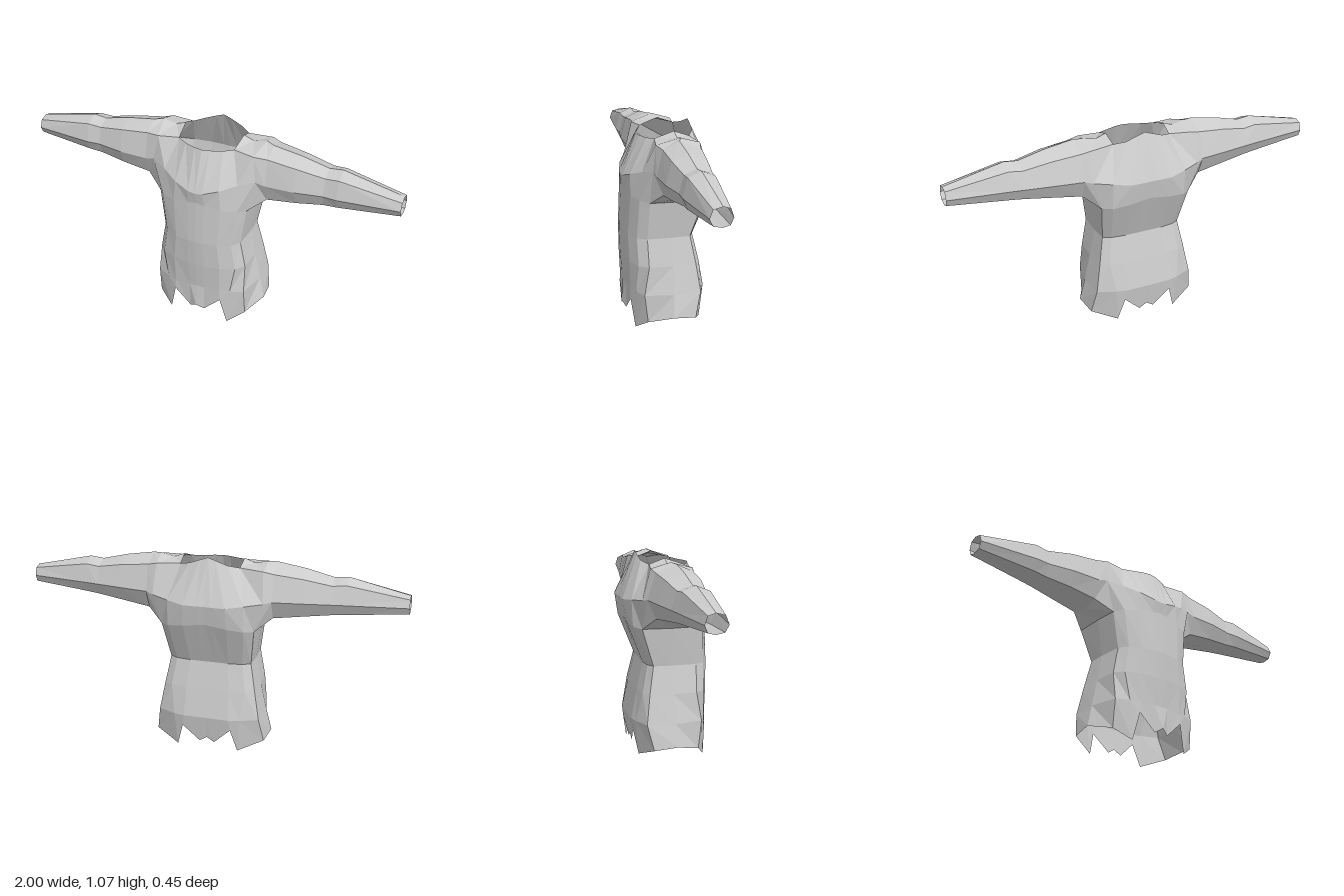
import * as THREE from 'three';

const lerp = THREE.MathUtils.lerp;

// Column fractions of half a torso ring, centre front -> side -> centre back
const WIDTH_TOP = [0, 0.18, 0.52, 0.82, 0.97, 1, 0.98, 0.8, 0.46, 0.16, 0];
const WIDTH_LOW = [0, 0.13, 0.42, 0.56, 0.84, 1, 0.96, 0.56, 0.42, 0.13, 0];
const DEPTH_TOP = [1, 0.99, 0.94, 0.8, 0.59, 0.02, -0.74, -0.92, -1, -1, -1];
const DEPTH_LOW = [1, 0.99, 0.96, 0.88, 0.74, 0.04, -0.72, -0.93, -1, -1, -1];

function torsoRing(y, halfWidth, front, back, lift = 0) {
  const t = THREE.MathUtils.clamp((0.36 - y) / 0.15, 0, 1);
  return DEPTH_TOP.map((top, i) => {
    const w = lerp(WIDTH_TOP[i], WIDTH_LOW[i], t * 0.7);
    const d = lerp(top, DEPTH_LOW[i], t);
    return [w * halfWidth, y + lift * (1 - w), d * (d > 0 ? front : back)];
  });
}

// Eight points: top, front top, front, front bottom, bottom, back bottom, back, back top
function sleeveRing(x, top, bottom, front, back) {
  const mid = 0.868;
  return [[1, 0], [0.78, 0.73], [0, 1], [-0.8, 0.7], [-1, 0], [-0.8, -0.7], [0, -1], [0.78, -0.73]]
    .map(([v, d]) => [x, mid + v * (v > 0 ? top - mid : mid - bottom), d * (d > 0 ? front : back)]);
}

// Quads between two rows of points
function strip(tris, a, b, closed = false) {
  const n = a.length;
  for (let i = 0; i < (closed ? n : n - 1); i++) {
    const j = (i + 1) % n;
    tris.push([a[i], a[j], b[j]], [a[i], b[j], b[i]]);
  }
}

function mirrored(tris) {
  return tris.map(([a, b, c]) => [a, c, b].map(([x, y, z]) => [-x, y, z]));
}

function makeMesh(name, tris, material) {
  const geometry = new THREE.BufferGeometry();
  geometry.setAttribute('position', new THREE.Float32BufferAttribute(tris.flat(2), 3));
  geometry.computeVertexNormals();
  const mesh = new THREE.Mesh(geometry, material);
  mesh.name = name;
  return mesh;
}

export function createModel() {
  const cloth = new THREE.MeshStandardMaterial({ color: 0xcccccc, flatShading: true, side: THREE.DoubleSide });
  cloth.name = 'paleGreyCloth';

  // Ragged hem, then rings up to the underarm
  const hem = [
    [0, 0.09, 0.225], [0.04, 0.065, 0.208], [0.13, 0.15, 0.205], [0.165, 0.003, 0.188],
    [0.25, 0.06, 0.14], [0.31, 0.093, 0.015], [0.295, 0.078, -0.105], [0.165, 0.027, -0.16],
    [0.13, 0.15, -0.182], [0.04, 0.065, -0.17], [0, 0.09, -0.172],
  ];
  const underarm = torsoRing(0.705, 0.25, 0.213, 0.21, 0.035);
  const rings = [
    hem,
    torsoRing(0.21, 0.282, 0.212, 0.19),
    torsoRing(0.36, 0.25, 0.222, 0.158),
    torsoRing(0.505, 0.222, 0.226, 0.124),
    underarm,
  ];
  const half = [];
  for (let i = 0; i < rings.length - 1; i++) strip(half, rings[i], rings[i + 1]);

  // Sleeve root shares the underarm points
  const root = [
    [0.285, 1.045, -0.02], [0.26, 1.01, 0.1], [0.28, 0.88, 0.12],
    underarm[4], underarm[5], underarm[6],
    [0.29, 0.86, -0.165], [0.28, 1.015, -0.12],
  ];

  // Chest and neckline
  const chestFront = [[0, 0.8, 0.222], [0.04, 0.805, 0.22], [0.12, 0.83, 0.198], [0.2, 0.86, 0.155], root[2]];
  const neckFront = [[0, 1.01, 0.138], [0.04, 1.01, 0.13], [0.1, 1.01, 0.108], [0.15, 1.015, 0.08], root[1]];
  const chestBack = [root[6], [0.2, 0.85, -0.2], [0.11, 0.84, -0.228], [0.04, 0.84, -0.228], [0, 0.84, -0.226]];
  const neckBack = [root[7], [0.155, 1.02, -0.1], [0.1, 1.035, -0.13], [0.04, 1.058, -0.137], [0, 1.072, -0.138]];
  strip(half, underarm.slice(0, 5), chestFront);
  strip(half, chestFront, neckFront);
  strip(half, underarm.slice(6), chestBack);
  strip(half, chestBack, neckBack);

  // Shoulder: a fan around the dip between neck and sleeve
  const dip = [0.215, 1.03, -0.02];
  const rim = [neckFront[3], root[1], root[0], root[7], neckBack[1], [0.16, 1.05, -0.02]];
  rim.forEach((p, i) => half.push([dip, p, rim[(i + 1) % rim.length]]));

  // Long tapering sleeve with a fold at the elbow, open at the cuff
  const sleeveRings = [
    root,
    sleeveRing(0.33, 1.04, 0.747, 0.115, 0.148),
    sleeveRing(0.48, 1.016, 0.77, 0.11, 0.126),
    sleeveRing(0.62, 0.982, 0.79, 0.086, 0.103),
    sleeveRing(0.69, 0.99, 0.797, 0.09, 0.092),
    sleeveRing(1, 0.92, 0.825, 0.06, 0.05),
  ];
  const sleeve = [];
  for (let i = 0; i < sleeveRings.length - 1; i++) strip(sleeve, sleeveRings[i], sleeveRings[i + 1], true);

  const model = new THREE.Group();
  model.name = 'tunic';
  model.add(
    makeMesh('torso', [...half, ...mirrored(half)], cloth),
    makeMesh('leftSleeve', sleeve, cloth),
    makeMesh('rightSleeve', mirrored(sleeve), cloth),
  );
  return model;
}
